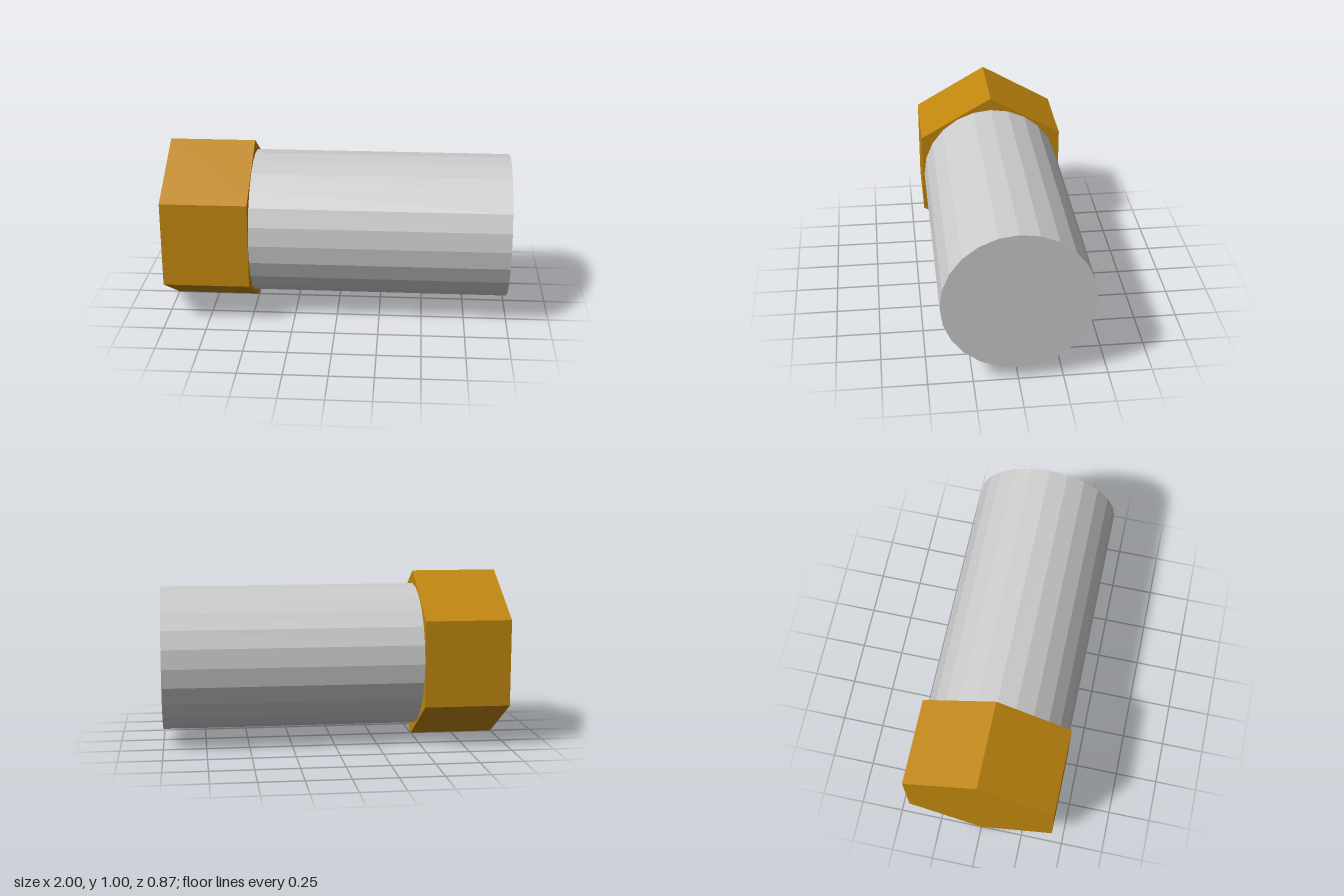
import * as THREE from 'three';

// Prism lying along x from x0 to x1, with a corner pointing straight up
function prism(name, radius, sides, x0, x1, color) {
  const geometry = new THREE.CylinderGeometry(radius, radius, x1 - x0, sides, 1, false, Math.PI / 2);
  geometry.rotateZ(-Math.PI / 2);
  const material = new THREE.MeshStandardMaterial({ color, flatShading: true });
  const mesh = new THREE.Mesh(geometry, material);
  mesh.name = name;
  mesh.position.set((x0 + x1) / 2, 0.5, 0);
  return mesh;
}

export function createModel() {
  const bolt = new THREE.Group();
  bolt.name = 'bolt';
  // Hexagonal head
  bolt.add(prism('head', 0.5, 6, -1, -0.5, 0xc0860e));
  // Plain round shank
  bolt.add(prism('shank', 0.423, 24, -0.5, 1, 0xcccccc));
  return bolt;
}
